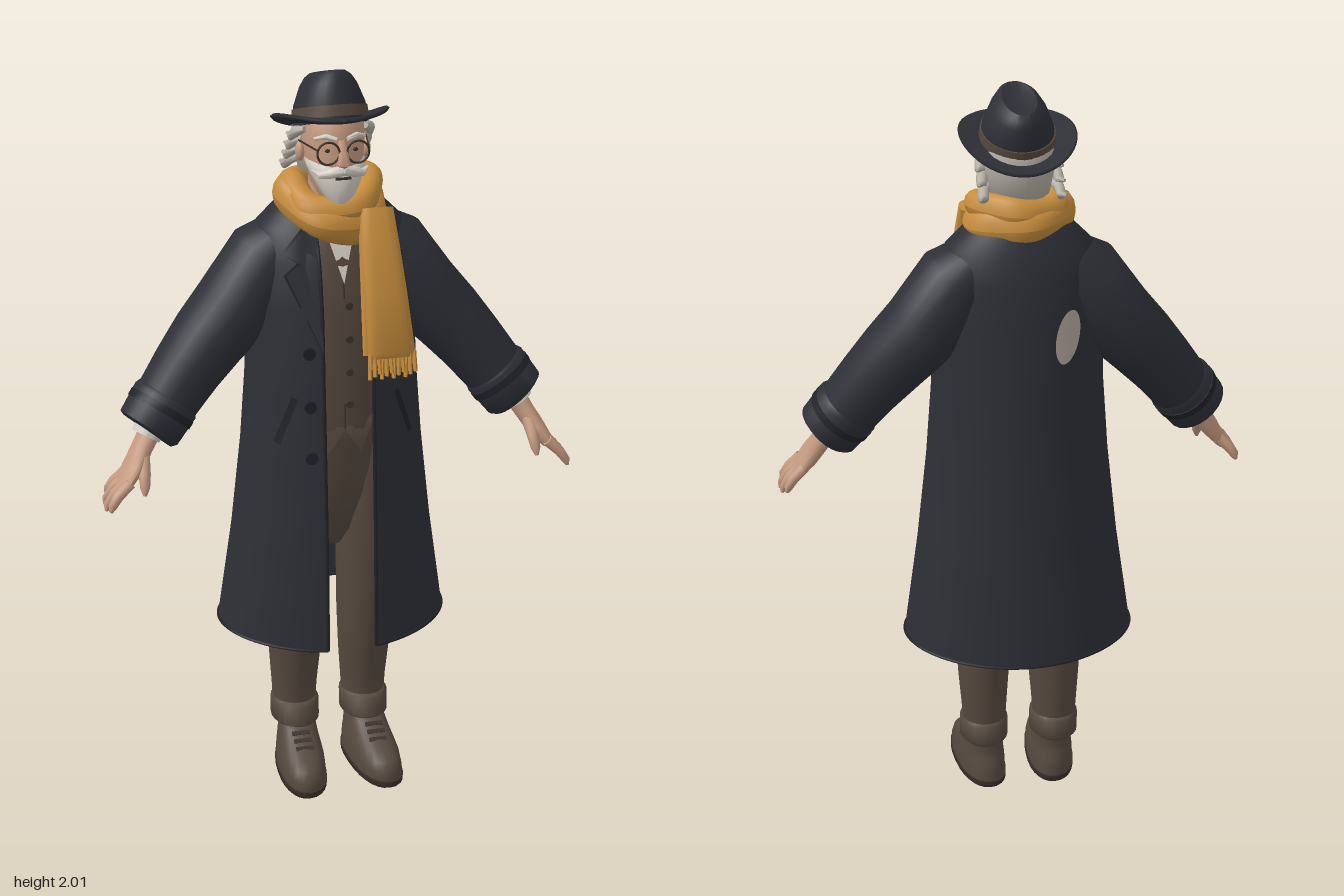
import * as THREE from 'three';
import { toCreasedNormals } from 'three/addons/utils/BufferGeometryUtils.js';

const mat = (name, color, side = THREE.FrontSide) => {
  const m = new THREE.MeshStandardMaterial({ color, side });
  m.name = name;
  return m;
};

// Skin a list of rings (arrays of Vector3); rings may be open or closed and capped
function loft(rings, closed = true, cap = true) {
  const n = rings[0].length, pos = [], idx = [];
  rings.forEach(r => r.forEach(p => pos.push(p.x, p.y, p.z)));
  for (let i = 0; i < rings.length - 1; i++) for (let j = 0; j < (closed ? n : n - 1); j++) {
    const k = (j + 1) % n, a = i * n + j, b = i * n + k, c = b + n, d = a + n;
    idx.push(a, b, c, a, c, d);
  }
  if (cap) [0, rings.length - 1].forEach(i => {
    const c = rings[i].reduce((s, p) => s.add(p), new THREE.Vector3()).divideScalar(n);
    const ci = pos.length / 3;
    pos.push(c.x, c.y, c.z);
    for (let j = 0; j < n; j++) {
      const a = i * n + j, b = i * n + (j + 1) % n;
      if (i) idx.push(a, b, ci); else idx.push(b, a, ci);
    }
  });
  const g = new THREE.BufferGeometry();
  g.setAttribute('position', new THREE.Float32BufferAttribute(pos, 3));
  g.setIndex(idx);
  return toCreasedNormals(g, 0.85);
}

// Rounded ring about a centre, spanned by directions u (width) and v (depth)
function ring(c, u, v, w, d, seg, k) {
  const pw = q => Math.sign(q) * Math.abs(q) ** k;
  return Array.from({ length: seg }, (_, j) => {
    const t = j / seg * Math.PI * 2;
    return c.clone().addScaledVector(v, pw(Math.cos(t)) * d).addScaledVector(u, pw(Math.sin(t)) * w);
  });
}
// Form along a path; sections are [x, y, z, half width, half depth]
function limb(sections, seg = 24, k = 1) {
  const c = sections.map(s => new THREE.Vector3(s[0], s[1], s[2]));
  return loft(sections.map((s, i) => {
    const d = c[Math.min(i + 1, c.length - 1)].clone().sub(c[Math.max(i - 1, 0)]).normalize();
    const v = new THREE.Vector3(0, 0, 1).addScaledVector(d, -d.z).normalize();
    return ring(c[i], d.clone().cross(v), v, s[3], s[4], seg, k);
  }));
}
// Form of level rings; sections are [y, z, half width, half depth]
const X = new THREE.Vector3(1, 0, 0), Z = new THREE.Vector3(0, 0, 1);
const upright = (x, secs, seg = 24, k = 1) => loft(secs.map(([y, z, w, d]) => ring(new THREE.Vector3(x, y, z), X, Z, w, d, seg, k)));

// Rows of the coat and waistcoat: [y, z, half width, half depth]
const COAT = [[.455, -.005, .315, .235], [.75, 0, .275, .218], [1, 0, .247, .202], [1.2, -.003, .232, .19],
  [1.4, -.006, .225, .176], [1.52, -.015, .222, .158], [1.6, -.025, .195, .132], [1.67, -.025, .125, .1]];
const VEST = [[1.04, 0, .17, .15], [1.2, 0, .17, .152], [1.4, 0, .17, .142], [1.52, 0, .16, .125], [1.62, 0, .09, .085]];
function surf(rows, x, y, face = 1) {
  let i = 0;
  while (i < rows.length - 2 && y > rows[i + 1][0]) i++;
  const t = THREE.MathUtils.clamp((y - rows[i][0]) / (rows[i + 1][0] - rows[i][0]), 0, 1);
  const [cz, rx, rz] = [1, 2, 3].map(k => THREE.MathUtils.lerp(rows[i][k], rows[i + 1][k], t));
  return cz + face * rz * Math.sqrt(Math.max(0, 1 - (x / rx) ** 2));
}

export function createModel() {
  const coat = mat('coat charcoal', 0x2d2f36, THREE.DoubleSide), trim = mat('dark trim', 0x212228, THREE.DoubleSide);
  const brown = mat('brown wool', 0x56493f, THREE.DoubleSide), sole = mat('dark brown', 0x3d312b);
  const scarf = mat('ochre scarf', 0xc58c3c), skin = mat('skin', 0xc59a80);
  const hair = mat('grey hair', 0xb3aea4), white = mat('white beard and linen', 0xd3cdc3, THREE.DoubleSide);
  const patchMat = mat('beige patch', 0xb5a99d, THREE.DoubleSide);

  const root = new THREE.Group();
  const add = (name, geo, m, parent = root, p) => {
    const mesh = new THREE.Mesh(geo, m);
    mesh.name = name;
    if (p) mesh.position.set(...p);
    parent.add(mesh);
    return mesh;
  };
  // Flat outline laid onto the front of a body surface
  const decal = (name, pts, m, rows, off) => {
    const g = new THREE.ShapeGeometry(new THREE.Shape(pts.map(p => new THREE.Vector2(...p)))), a = g.attributes.position;
    for (let i = 0; i < a.count; i++) a.setZ(i, surf(rows, a.getX(i), a.getY(i)) + off);
    g.computeVertexNormals();
    add(name, g, m);
  };
  const disc = (name, x, y, r, rows, m) => add(name, new THREE.CylinderGeometry(r, r, .008, 14).rotateX(Math.PI / 2), m, root, [x, y, surf(rows, x, y) + .004]);

  // Coat body, open down the front, hem lifted at the sides
  const coatRings = COAT.map(([y, cz, rx, rz], i) => {
    const t0 = Math.asin(.07 / rx), t1 = 2 * Math.PI - Math.asin(.065 / rx);
    return Array.from({ length: 61 }, (_, j) => {
      const t = t0 + (t1 - t0) * j / 60;
      return new THREE.Vector3(rx * Math.sin(t), y + (i ? 0 : .02 * Math.sin(t) ** 2), cz + rz * Math.cos(t));
    });
  });
  add('coatBody', loft(coatRings, false, false), coat);
  const edge = pts => new THREE.TubeGeometry(new THREE.CatmullRomCurve3(pts), 80, .005, 6);
  add('coatHem', edge(coatRings[0]), trim);
  add('coatEdgeLeft', edge(coatRings.map(r => r[0])), trim);
  add('coatEdgeRight', edge(coatRings.map(r => r[60])), trim);

  // Worn patch on the back
  const patch = new THREE.CircleGeometry(1, 24), pa = patch.attributes.position;
  for (let i = 0; i < pa.count; i++) {
    const y = 1.38 + pa.getY(i) * .072, x = -.105 - pa.getX(i) * .034 - (y - 1.38) * .15;
    pa.setXYZ(i, x, y, surf(COAT, x, y, -1) - .006);
  }
  patch.computeVertexNormals();
  add('backPatch', patch, patchMat);

  // Lapels, pocket welts and coat buttons
  for (const s of [1, -1]) {
    decal('lapel', [[.066, 1.3], [.066, 1.6], [.1, 1.61], [.15, 1.55], [.115, 1.53], [.15, 1.5]].map(([x, y]) => [s * x, y]), coat, COAT, .014);
    decal('lapelShadow', [[.064, 1.29], [.064, 1.6], [.1, 1.615], [.155, 1.55], [.121, 1.53], [.155, 1.497]].map(([x, y]) => [s * x, y]), trim, COAT, .01);
    decal('pocketWelt', [[.13, 1.17], [.145, 1.175], [.19, 1.045], [.175, 1.04]].map(([x, y]) => [s * x, y]), trim, COAT, .006);
  }
  for (const y of [1.295, 1.15, 1.01]) disc('coatButton', -.1, y, .017, COAT, trim);

  // Waistcoat, shirt and hips
  add('waistcoat', upright(0, VEST, 40), brown);
  decal('waistcoatPoints', [[-.09, 1.1], [-.045, 1.0], [0, 1.07], [.045, 1.0], [.09, 1.1]], brown, VEST, .004);
  decal('shirt', [[0, 1.47], [.035, 1.59], [.02, 1.62], [-.02, 1.62], [-.035, 1.59]], white, VEST, .008);
  decal('waistcoatSeam', [[-.002, 1.07], [.002, 1.07], [.002, 1.47], [-.002, 1.47]], sole, VEST, .004);
  for (let i = 0; i < 4; i++) disc('waistcoatButton', .012, 1.41 - i * .09, .01, VEST, sole);
  add('hips', upright(0, [[.68, 0, .03, .03], [.74, 0, .08, .075], [.85, 0, .14, .112], [.95, 0, .172, .13], [1.06, 0, .172, .142]], 32), brown);

  for (const s of [1, -1]) {
    const side = (pts, seg = 24) => limb(pts.map(([x, ...r]) => [s * x, ...r]), seg);
    // Sleeve, turned cuff and strap
    add('sleeve', side([[.09, 1.585, -.03, .06, .085], [.165, 1.51, -.03, .105, .118], [.255, 1.38, -.025, .108, .122],
      [.33, 1.3, -.012, .1, .115], [.392, 1.227, .003, .092, .106], [.45, 1.152, .02, .086, .094], [.506, 1.08, .04, .082, .084]]), coat);
    add('sleeveCuff', side([[.448, 1.157, .02, .086, .095], [.455, 1.148, .022, .092, .099], [.505, 1.082, .04, .088, .089], [.511, 1.075, .042, .076, .077]]), coat);
    add('cuffStrap', side([[.464, 1.136, .025, .093, .1], [.476, 1.12, .03, .093, .098]]), trim);
    add('shirtCuff', side([[.5, 1.09, .045, .042, .048], [.517, 1.064, .053, .039, .046]]), white);
    // Hand with fingers and thumb
    const hand = new THREE.Group();
    hand.name = 'hand';
    root.add(hand);
    add('palm', side([[.5, 1.085, .05, .03, .036], [.53, 1.035, .062, .027, .04], [.555, .995, .08, .026, .053], [.588, .95, .09, .018, .054]], 16), skin, hand);
    [.041, .014, -.014, -.041].forEach((o, i) => {
      const l = [.92, 1.04, 1, .82][i];
      add('finger', side([[.575, .968, .09 + o, .016, .016], [.577 + .034 * l, .968 - .034 * l, .09 + o * 1.15, .0145, .015],
        [.577 + .053 * l, .968 - .062 * l, .09 + o * 1.3, .0115, .012], [.577 + .058 * l, .968 - .078 * l, .09 + o * 1.32, .005, .006]], 10), skin, hand);
    });
    add('thumb', side([[.532, 1.02, .09, .018, .022], [.535, .985, .125, .016, .018], [.538, .955, .143, .013, .013], [.54, .935, .149, .005, .006]], 10), skin, hand);

    // Trouser leg with turn-up
    add('trouserLeg', upright(s * .1, [[.15, -.025, .058, .068], [.24, -.027, .063, .07], [.33, -.02, .07, .083], [.46, -.01, .077, .098],
      [.75, 0, .083, .112], [1, 0, .088, .12]]), brown);
    add('turnUp', upright(s * .1, [[.135, -.02, .06, .08], [.142, -.02, .067, .087], [.195, -.022, .067, .083], [.205, -.023, .06, .072]]), brown);

    // Shoe, toes turned slightly outward
    const shoe = (name, secs, m) => {
      const g = upright(s * .099, secs, 28, .85), a = g.attributes.position;
      for (let i = 0; i < a.count; i++) a.setX(i, a.getX(i) + s * .07 * a.getZ(i));
      add(name, g, m);
    };
    shoe('shoeSole', [[0, .062, .062, .158], [.005, .062, .067, .163], [.02, .062, .067, .163]], sole);
    shoe('shoeUpper', [[.02, .06, .064, .158], [.045, .06, .064, .157], [.068, .053, .062, .146], [.085, .04, .059, .127],
      [.105, .02, .055, .103], [.13, -.004, .052, .08], [.155, -.022, .05, .064]], brown);
    for (let i = 0; i < 3; i++)
      add('shoeLace', new THREE.BoxGeometry(.05, .008, .012).rotateX(.7), sole, root, [s * .106, .102 + i * .013, .122 - i * .022]);
  }

  // Head and face
  const head = new THREE.Group();
  head.name = 'head';
  root.add(head);
  add('neck', upright(0, [[1.58, -.01, .06, .06], [1.74, 0, .058, .065]]), skin, head);
  add('skull', upright(0, [[1.68, .05, .04, .05], [1.72, .04, .062, .078], [1.78, .022, .077, .095], [1.84, .015, .083, .1],
    [1.89, .008, .08, .1], [1.92, 0, .06, .08]], 32), skin, head);
  add('backHair', upright(0, [[1.715, -.035, .05, .045], [1.74, -.036, .078, .07], [1.8, -.038, .09, .078], [1.85, -.034, .094, .08], [1.88, -.025, .088, .075]], 28), hair, head);
  add('beard', upright(0, [[1.66, .1, .012, .014], [1.685, .09, .034, .036], [1.72, .075, .054, .056], [1.75, .062, .07, .066], [1.775, .045, .079, .073], [1.785, .03, .078, .075]], 28), white, head);
  add('nose', limb([[0, 1.845, .112, .01, .01], [0, 1.805, .13, .014, .014], [0, 1.79, .132, .018, .015], [0, 1.78, .122, .012, .01]], 14), skin, head);
  add('mouth', new THREE.BoxGeometry(.04, .006, .008), sole, head, [0, 1.75, .127]);
  for (const s of [1, -1]) {
    add('moustache', limb([[0, 1.772, .13, .014, .014], [s * .03, 1.766, .127, .014, .014], [s * .055, 1.757, .108, .01, .012], [s * .074, 1.767, .092, .003, .004]], 12), white, head);
    add('eyebrow', limb([[s * .014, 1.85, .117, .006, .007], [s * .04, 1.857, .108, .008, .008], [s * .066, 1.848, .087, .004, .005]], 8), white, head);
    add('eye', new THREE.SphereGeometry(.007, 12, 8).scale(1, .7, .5), sole, head, [s * .037, 1.82, .109]);
    add('ear', new THREE.SphereGeometry(.026, 14, 10).scale(.45, 1, .7), skin, head, [s * .088, 1.8, .022]);
    add('spectacleRim', new THREE.TorusGeometry(.029, .0028, 6, 28), sole, head, [s * .039, 1.818, .128]);
    add('spectacleArm', new THREE.BoxGeometry(.003, .004, .125), sole, head, [s * .08, 1.828, .068]).rotation.y = s * -.2;
    // Wavy locks swept back over the ears
    for (let i = 0; i < 4; i++) {
      const y = 1.855 - i * .032, z = .045 - i * .026;
      add('hairLock', limb([[s * .08, y + .008, z, .008, .008], [s * .098, y - .004, z - .028, .015, .016], [s * .102, y - .02, z - .05, .013, .015],
        [s * .112, y - .016, z - .066, .004, .004]], 10), hair, head);
    }
  }
  add('spectacleBridge', new THREE.BoxGeometry(.022, .004, .004), sole, head, [0, 1.823, .13]);

  // Hat, tipped back
  const hat = new THREE.Group();
  hat.name = 'hat';
  hat.position.set(0, 1.86, 0);
  hat.rotation.x = -.31;
  root.add(hat);
  const brim = new THREE.LatheGeometry([[.06, 0], [.11, -.004], [.148, 0], [.154, .006], [.148, .012], [.11, .008], [.06, .012]].map(p => new THREE.Vector2(...p)), 48);
  const ba = brim.attributes.position;
  for (let i = 0; i < ba.count; i++) {
    const x = ba.getX(i), z = ba.getZ(i);
    ba.setXYZ(i, x, ba.getY(i) + 1.1 * x * x - (z > 0 ? .3 * z * z : 0), z * 1.06);
  }
  brim.computeVertexNormals();
  add('hatBrim', brim, coat, hat);
  add('hatCrown', upright(0, [[0, 0, .098, .11], [.05, 0, .093, .108], [.1, .002, .073, .103], [.122, .004, .058, .095], [.132, .004, .044, .08], [.122, 0, .022, .05]], 32), coat, hat);
  add('hatBand', upright(0, [[.014, 0, .1, .113], [.043, 0, .097, .112]], 32), brown, hat);

  // Scarf wound twice, dipping at the front
  const wrap = (name, R, r, h, y, dip, tilt) => {
    const g = new THREE.TorusGeometry(R, r, 14, 56).rotateX(Math.PI / 2), a = g.attributes.position;
    for (let i = 0; i < a.count; i++) {
      const x = a.getX(i), z = a.getZ(i), t = Math.atan2(x, z);
      const w = 1 + .035 * Math.sin(5 * t + y * 40);
      a.setXYZ(i, x * w, y + a.getY(i) * h * (1 + .12 * Math.sin(3 * t)) + tilt * x - dip * Math.max(0, Math.cos(t)), z * w);
    }
    g.computeVertexNormals();
    add(name, g, scarf);
  };
  wrap('scarfUpperWrap', .1, .038, 1.1, 1.7, .045, .06);
  wrap('scarfLowerWrap', .106, .042, 1.2, 1.667, .05, -.08);

  // Hanging end with fringe
  add('scarfEnd', limb([[.09, 1.66, .115, .045, .025], [.09, 1.57, .155, .052, .027], [.1, 1.45, .182, .056, .025], [.108, 1.3, .212, .063, .022], [.108, 1.285, .215, .06, .014]], 20, .7), scarf);
  add('scarfUnderEnd', limb([[.07, 1.6, .135, .03, .02], [.066, 1.45, .17, .03, .014], [.065, 1.29, .198, .03, .012]], 16, .7), scarf);
  for (let i = 0; i < 12; i++) {
    const x = .05 + i * .0106, y = 1.232 + .007 * ((i * 7) % 3);
    add('scarfFringe', limb([[x, 1.3, .217, .006, .01], [x + .003 * (i % 3 - 1), y, .226, .0055, .008]], 6), scarf);
  }
  return root;
}
